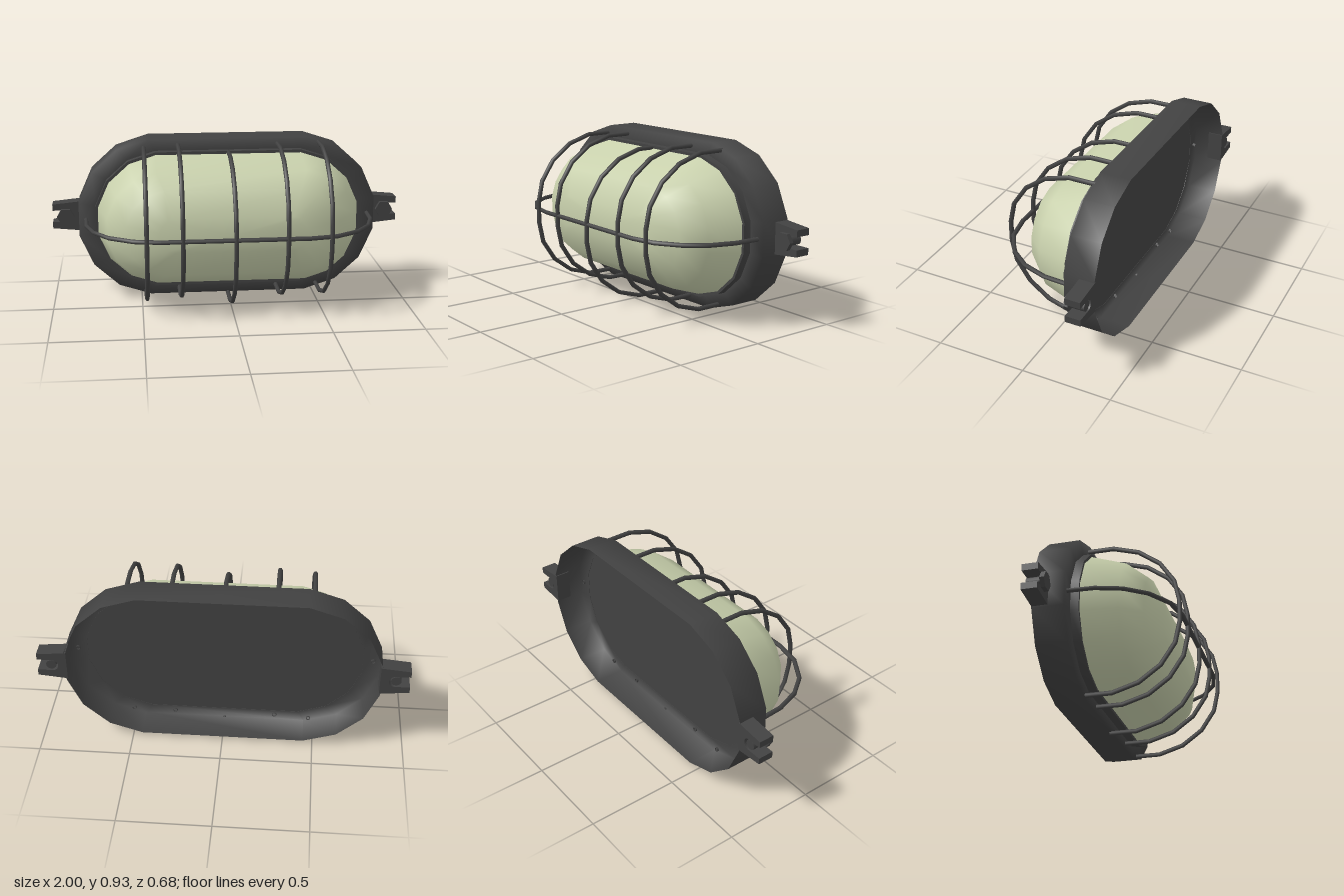
import * as THREE from 'three';

const body = new THREE.MeshStandardMaterial({ color: 0x424242, side: THREE.DoubleSide });
body.name = 'dark grey metal';
const glass = new THREE.MeshStandardMaterial({ color: 0xc8d0ac });
glass.name = 'pale green glass';

const CY = 0.473; // height of the lamp's axis

// Rounded oblong outline: two eight-point arcs, s = half the straight run, r = end radius
function outline(s, r) {
  const pts = [];
  for (let i = 0; i < 16; i++) {
    const a = THREE.MathUtils.degToRad(i < 8 ? -84 + i * 24 : 96 + (i - 8) * 24);
    pts.push([(i < 8 ? s : -s) + Math.cos(a) * r * 1.005, CY + Math.sin(a) * r * 1.005]);
  }
  return pts;
}

// Skin oblong rings [s, r, z] from back to front and close the front
function loft(rings) {
  const pos = [], idx = [], n = 16;
  rings.forEach(([s, r, z]) => outline(s, r).forEach(([x, y]) => pos.push(x, y, z)));
  for (let k = 0; k < rings.length - 1; k++) {
    for (let i = 0; i < n; i++) {
      const a = k * n + i, b = k * n + (i + 1) % n;
      idx.push(a, b, b + n, a, b + n, a + n);
    }
  }
  const last = (rings.length - 1) * n, c = rings.length * n;
  pos.push(0, CY, rings[rings.length - 1][2]);
  for (let i = 0; i < n; i++) idx.push(last + i, last + (i + 1) % n, c);
  const g = new THREE.BufferGeometry();
  g.setAttribute('position', new THREE.Float32BufferAttribute(pos, 3));
  g.setIndex(idx);
  g.computeVertexNormals();
  return g;
}

// Bent wire that runs straight between its points
function wire(points) {
  const c = new THREE.CatmullRomCurve3(points);
  c.getPointAt = c.getPoint;
  c.getTangentAt = c.getTangent;
  return new THREE.TubeGeometry(c, points.length - 1, 0.0125, 6, false);
}

// Mirror half of a wire profile [offset, z] into a full arch
function arch(half) {
  return [...half, ...half.map(([d, z]) => [-d, z]).reverse()];
}

export function createModel() {
  const group = new THREE.Group();
  const add = (name, geometry, material, parent = group) => {
    const m = new THREE.Mesh(geometry, material);
    m.name = name;
    parent.add(m);
    return m;
  };

  // Housing: a hollow pan, open at the back
  add('housing', loft([[0.4, 0.455, -0.34], [0.4, 0.455, -0.17], [0.37, 0.39, -0.17]]), body);
  // Raised rim that holds the glass (doubled ring keeps its edge sharp)
  add('glassRim', loft([[0.37, 0.39, -0.172], [0.37, 0.39, -0.125], [0.37, 0.39, -0.125]]), body);
  // Domed glass cover
  add('glassCover', loft([
    [0.37, 0.375, -0.126], [0.38, 0.312, 0.06], [0.35, 0.237, 0.165], [0.31, 0.095, 0.22],
  ]), glass);

  // Wire guard: one long wire and five hoops
  const guard = new THREE.Group();
  guard.name = 'wireGuard';
  group.add(guard);
  const long = arch([[0.808, -0.18], [0.8, -0.03], [0.757, 0.105], [0.675, 0.215], [0.545, 0.297], [0.4, 0.325]]);
  add('longWire', wire(long.map(([x, z]) => new THREE.Vector3(x, CY, z))), body, guard);
  const hoop = arch([[0.42, -0.18], [0.42, -0.03], [0.377, 0.11], [0.293, 0.225], [0.178, 0.302], [0.06, 0.3275]]);
  for (const [x, y] of [[-0.475, 0.462], [-0.283, 0.475], [0, 0.4325], [0.28, 0.473], [0.515, 0.476]]) {
    add('hoopWire', wire(hoop.map(([d, z]) => new THREE.Vector3(x, y + d, z))), body, guard);
  }

  // Slotted mounting lugs with hexagonal bolts at both ends
  const lug = new THREE.Shape();
  lug.moveTo(0.84, -0.086);
  lug.lineTo(1, -0.07);
  lug.lineTo(1, -0.034);
  lug.lineTo(0.92, -0.034);
  lug.absarc(0.92, 0, 0.034, -Math.PI / 2, Math.PI / 2, true);
  lug.lineTo(1, 0.034);
  lug.lineTo(1, 0.07);
  lug.lineTo(0.84, 0.086);
  const lugGeometry = new THREE.ExtrudeGeometry(lug, { depth: 0.085, bevelEnabled: false, curveSegments: 8 });
  const head = new THREE.CylinderGeometry(0.05, 0.05, 0.025, 6).rotateX(Math.PI / 2).rotateZ(Math.PI / 2).toNonIndexed();
  head.computeVertexNormals();
  const shank = new THREE.CylinderGeometry(0.028, 0.028, 0.08, 12).rotateX(Math.PI / 2);
  for (const turn of [0, Math.PI]) {
    const end = new THREE.Group();
    end.name = turn ? 'rightMount' : 'leftMount';
    end.position.y = CY;
    end.rotation.z = turn;
    group.add(end);
    add('lug', lugGeometry, body, end).position.z = -0.34;
    add('boltHead', head, body, end).position.set(0.925, 0, -0.2445);
    add('boltShank', shank, body, end).position.set(0.925, 0, -0.295);
  }
  return group;
}
